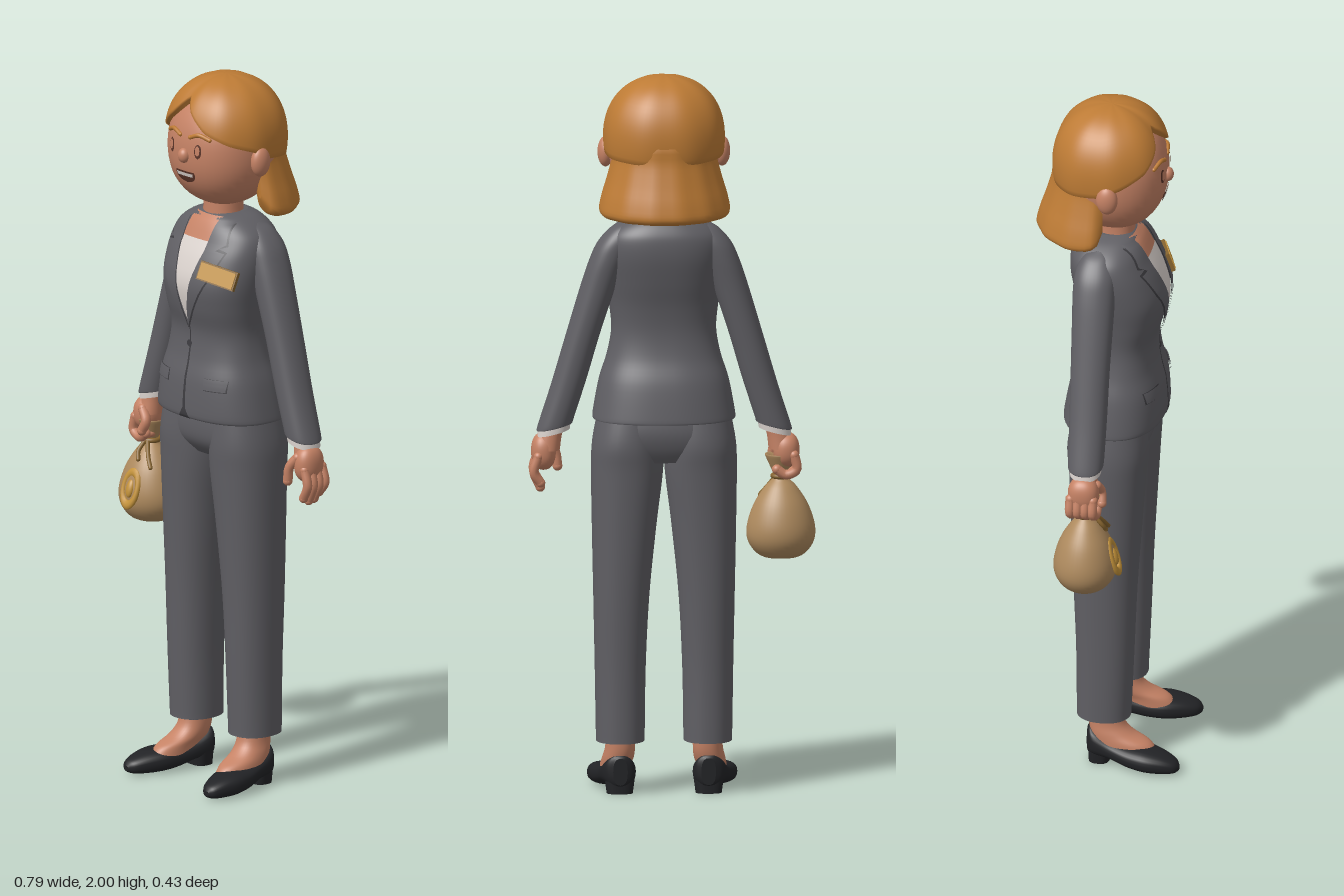
import * as THREE from 'three';
import { mergeVertices } from 'three/addons/utils/BufferGeometryUtils.js';

const mat = (name, color, side = THREE.FrontSide) => {
  const m = new THREE.MeshStandardMaterial({ color, side });
  m.name = name;
  return m;
};
const V = (x, y, z) => new THREE.Vector3(x, y, z);
const CX = 0.02; // the body's own centre line
const lerp = THREE.MathUtils.lerp;
const pw = (v, e) => Math.sign(v) * Math.abs(v) ** e;

// Skin a list of closed rings and close both ends
function loft(rings) {
  const n = rings[0].length, pos = [], idx = [];
  rings.forEach(r => r.forEach(p => pos.push(p.x, p.y, p.z)));
  for (let i = 0; i < rings.length - 1; i++) for (let j = 0; j < n; j++) {
    const a = i * n + j, c = i * n + (j + 1) % n;
    idx.push(a, a + n, c, c, a + n, c + n);
  }
  [rings[0], rings[rings.length - 1]].forEach((r, end) => {
    const mid = r.reduce((s, p) => s.add(p), V(0, 0, 0)).divideScalar(n), b = pos.length / 3;
    [mid, ...r].forEach(p => pos.push(p.x, p.y, p.z));
    for (let j = 0; j < n; j++) {
      const p = b + 1 + j, q = b + 1 + (j + 1) % n;
      idx.push(b, end ? q : p, end ? p : q);
    }
  });
  const g = new THREE.BufferGeometry();
  g.setAttribute('position', new THREE.Float32BufferAttribute(pos, 3));
  g.setIndex(idx);
  g.computeVertexNormals();
  return g;
}

// Smooth in-between sections
function resample(secs, sub = 5) {
  const out = [];
  for (let i = 0; i < secs.length - 1; i++) for (let k = 0; k < sub; k++) {
    const t = k / sub, b = secs[i], c = secs[i + 1], a = secs[i - 1] ?? b, d = secs[i + 2] ?? c;
    out.push(b.map((v, m) => 0.5 * (2 * v + (c[m] - a[m]) * t + (2 * a[m] - 5 * v + 4 * c[m] - d[m]) * t * t
      + (3 * v - a[m] - 3 * c[m] + d[m]) * t ** 3)));
  }
  out.push(secs[secs.length - 1]);
  return out;
}

// Rounded upright form; sections are [y, centreX, halfWidth, zFront, zBack] from the bottom up
const upright = (secs, p = 2.2, tilt = 0, n = 40) => loft(resample(secs).map(([y, cx, rx, zf, zb]) =>
  Array.from({ length: n }, (_, j) => {
    const a = j / n * Math.PI * 2, dx = rx * pw(Math.cos(a), 2 / p);
    return V(cx + dx, y + dx * tilt, (zf + zb) / 2 + (zf - zb) / 2 * pw(Math.sin(a), 2 / p));
  })));

// Ellipsoid, squarer for larger p
function blob(c, r, p = 2) {
  const g = new THREE.SphereGeometry(1, 40, 28), q = g.attributes.position;
  for (let i = 0; i < q.count; i++) {
    const v = V(0, 0, 0).fromBufferAttribute(q, i);
    v.divideScalar((Math.abs(v.x) ** p + Math.abs(v.y) ** p + Math.abs(v.z) ** p) ** (1 / p));
    q.setXYZ(i, c[0] + v.x * r[0], c[1] + v.y * r[1], c[2] + v.z * r[2]);
  }
  g.deleteAttribute('uv'); g.deleteAttribute('normal');
  const m = mergeVertices(g, 1e-5);
  m.computeVertexNormals();
  return m;
}

// Thin panel following a surface z(x, y); rows are [y, xLeft, xRight] from the bottom up
function panel(zAt, rows, off) {
  const pos = [], idx = [], n = 10, all = [];
  rows.forEach((r, i) => {
    if (i) for (let k = 1; k <= 6; k++) all.push(r.map((v, m) => lerp(rows[i - 1][m], v, k / 6)));
    else all.push(r);
  });
  all.forEach(([y, l, r], i) => {
    for (let j = 0; j <= n; j++) {
      const x = lerp(l, r, j / n), a = i * (n + 1) + j;
      pos.push(x, y, zAt(x, y) + off);
      if (i < all.length - 1 && j < n) idx.push(a, a + 1, a + n + 1, a + 1, a + n + 2, a + n + 1);
    }
  });
  const g = new THREE.BufferGeometry();
  g.setAttribute('position', new THREE.Float32BufferAttribute(pos, 3));
  g.setIndex(idx);
  g.computeVertexNormals();
  return g;
}
const ovalRows = (x, y, rx, ry, lo = -1) => Array.from({ length: 9 }, (_, i) => {
  const t = lerp(lo, 1, i / 8), w = rx * Math.sqrt(Math.max(0, 1 - t * t));
  return [y + ry * t, x - w, x + w];
});
const tube = (pts, r) => new THREE.TubeGeometry(new THREE.CatmullRomCurve3(pts.map(p => V(...p))), 14, r, 10);

export function createModel() {
  const root = new THREE.Group();
  root.name = 'woman';
  const D = THREE.DoubleSide;
  const skin = mat('skin', 0xc58265), hair = mat('hair', 0xbd7b35), suit = mat('suit grey', 0x605f64, D),
    seam = mat('dark seam', 0x3d3c40, D), white = mat('shirt white', 0xd9d1cc, D), shoe = mat('shoe black', 0x222326),
    sack = mat('sack tan', 0xae8a5e, D), gold = mat('gold', 0xc3923a), rope = mat('rope brown', 0x86642f),
    brown = mat('dark brown', 0x5a3428, D);
  const add = (name, geo, m, parent = root) => {
    const o = new THREE.Mesh(geo, m);
    o.name = name;
    parent.add(o);
    return o;
  };
  // Rod with round ends, for fingers and rope ends
  const rod = (name, pts, r, m) => {
    add(name, tube(pts, r), m);
    [pts[0], pts[pts.length - 1]].forEach(p => add(name + 'End', blob(p, [r, r, r]), m));
  };

  // Jacket body
  const torso = [[1.045, 0.195, 0.14, -0.132], [1.06, 0.195, 0.148, -0.132], [1.15, 0.178, 0.143, -0.115],
    [1.22, 0.156, 0.127, -0.09], [1.29, 0.144, 0.122, -0.08], [1.36, 0.15, 0.14, -0.086], [1.43, 0.16, 0.148, -0.102],
    [1.5, 0.166, 0.126, -0.115], [1.55, 0.16, 0.1, -0.115], [1.58, 0.138, 0.085, -0.105], [1.605, 0.098, 0.068, -0.085],
    [1.617, 0.06, 0.05, -0.06]].map(([y, ...r]) => [y, CX, ...r]);
  add('jacketBody', upright(torso, 2.4, 0, 64), suit);
  const dense = resample(torso);
  const chestZ = (x, y) => {
    let i = dense.findIndex(s => s[0] >= y);
    i = i < 0 ? dense.length - 1 : Math.max(1, i);
    const t = THREE.MathUtils.clamp((y - dense[i - 1][0]) / (dense[i][0] - dense[i - 1][0]), 0, 1);
    const [, cx, rx, zf, zb] = dense[i].map((v, m) => lerp(dense[i - 1][m], v, t));
    return (zf + zb) / 2 + (zf - zb) / 2 * Math.max(0, 1 - Math.abs((x - cx) / rx) ** 2.4) ** (1 / 2.4);
  };
  const front = (name, rows, off, m, s = 1) => add(name, panel(chestZ, rows.map(([y, l, r]) =>
    s > 0 ? [y, CX + l, CX + r] : [y, CX - r, CX - l]), off), m);
  front('neckline', [[1.53, -0.058, 0.058], [1.612, -0.052, 0.052]], 0.002, skin);
  front('shirt', [[1.325, -0.002, 0.002], [1.45, -0.033, 0.033], [1.55, -0.056, 0.056]], 0.004, white);
  front('frontOpening', [[1.046, -0.022, 0.022], [1.075, -0.005, 0.005], [1.33, -0.0015, 0.0015]], 0.002, seam);
  for (const s of [1, -1]) {
    front('lapelShadow', [[1.3, -0.001, 0.002], [1.46, 0.034, 0.092], [1.53, 0.05, 0.116], [1.537, 0.05, 0.09],
      [1.545, 0.05, 0.113], [1.6, 0.055, 0.097]], 0.006, seam, s);
    front('lapel', [[1.305, 0, 0.001], [1.46, 0.033, 0.088], [1.527, 0.05, 0.112], [1.532, 0.05, 0.085],
      [1.55, 0.051, 0.108], [1.606, 0.054, 0.092]], 0.009, suit, s);
    front('pocketShadow', [[1.136, 0.07, 0.137], [1.17, 0.07, 0.137]], 0.003, seam, s);
    front('pocketFlap', [[1.139, 0.072, 0.135], [1.17, 0.07, 0.137]], 0.006, suit, s);
  }
  front('button', ovalRows(0, 1.255, 0.01, 0.01), 0.006, seam);

  // Name badge
  const badge = new THREE.Group();
  badge.name = 'badge';
  badge.position.set(0.133, 1.47, 0.125);
  badge.rotation.set(-0.35, 0.35, -0.05);
  root.add(badge);
  add('badgeFrame', new THREE.BoxGeometry(0.118, 0.053, 0.014), rope, badge);
  add('badgePlate', new THREE.BoxGeometry(0.11, 0.045, 0.02), gold, badge);

  // Trousers
  add('trouserSeat', upright([[0.93, CX, 0.12, 0.075, -0.08], [0.97, CX, 0.185, 0.105, -0.1],
    [1.02, CX, 0.186, 0.112, -0.108], [1.09, CX, 0.17, 0.105, -0.095]], 2.4), suit);
  for (const s of [1, -1]) {
    const at = x => CX + s * x;
    add('trouserLeg', upright([[0.16, at(0.12), 0.05, 0.05, -0.06], [0.15, at(0.12), 0.065, 0.068, -0.078],
      [0.165, at(0.12), 0.067, 0.07, -0.08], [0.35, at(0.12), 0.07, 0.078, -0.082], [0.55, at(0.117), 0.077, 0.086, -0.09],
      [0.75, at(0.109), 0.089, 0.098, -0.098], [0.9, at(0.101), 0.099, 0.108, -0.105],
      [0.98, at(0.1), 0.097, 0.112, -0.11], [1.07, at(0.09), 0.09, 0.105, -0.095]]), suit);

    // Feet and low-heeled shoes
    add('foot', upright([[0.045, at(0.133), 0.042, 0.145, -0.03], [0.07, at(0.131), 0.042, 0.125, -0.035],
      [0.095, at(0.125), 0.043, 0.075, -0.042], [0.13, at(0.12), 0.041, 0.048, -0.048], [0.2, at(0.12), 0.04, 0.042, -0.05]]), skin);
    const shoeSecs = [[0.213, 0.165, 0.008, 0.012, 0.026], [0.2, 0.163, 0.026, 0.004, 0.04], [0.165, 0.158, 0.043, 0, 0.054],
      [0.12, 0.151, 0.055, 0, 0.063], [0.07, 0.142, 0.054, 0.006, 0.066], [0.02, 0.131, 0.049, 0.018, 0.076],
      [-0.025, 0.124, 0.046, 0.02, 0.1], [-0.042, 0.122, 0.036, 0.02, 0.108], [-0.05, 0.121, 0.02, 0.025, 0.1]];
    add('shoe', loft(resample(shoeSecs).map(([z, x, w, y0, y1]) => Array.from({ length: 28 }, (_, j) => {
      const a = j / 28 * Math.PI * 2;
      return V(at(x) + w * pw(Math.cos(a), 0.8), (y0 + y1) / 2 + (y1 - y0) / 2 * pw(Math.sin(a), 0.8), z);
    }))), shoe);
    add('shoeHeel', upright([[0, at(0.122), 0.036, 0.012, -0.046], [0.045, at(0.122), 0.042, 0.02, -0.048]], 2.8), shoe);

    // Sleeves and cuffs
    add('sleeve', upright([[1.025, at(0.3), 0.049, 0.027, -0.068], [1.04, at(0.297), 0.05, 0.029, -0.07],
      [1.15, at(0.262), 0.05, 0.03, -0.073], [1.28, at(0.224), 0.05, 0.03, -0.077], [1.42, at(0.18), 0.053, 0.032, -0.082],
      [1.5, at(0.152), 0.055, 0.032, -0.085], [1.55, at(0.132), 0.052, 0.028, -0.08], [1.585, at(0.115), 0.035, 0.01, -0.06],
      [1.597, at(0.108), 0.01, -0.01, -0.03]], 2.2, -s * 0.25), suit);
    add('cuff', upright([[1.008, at(0.304), 0.045, 0.023, -0.064], [1.035, at(0.3), 0.045, 0.023, -0.064]], 2.2, -s * 0.25), white);
    add('wrist', upright([[0.96, at(0.322), 0.036, 0.02, -0.056], [1.0, at(0.312), 0.031, 0.012, -0.052],
      [1.04, at(0.3), 0.03, 0.01, -0.05]]), skin);
    add('ear', blob([at(0.16), 1.785, 0.01], [0.022, 0.042, 0.03]), skin);
  }

  // Hands: open on one side, gripping the sack on the other
  add('leftPalm', blob([0.351, 0.955, -0.015], [0.034, 0.052, 0.043], 2.3), skin);
  add('rightPalm', blob([-0.315, 0.955, -0.02], [0.036, 0.048, 0.043], 2.3), skin);
  for (let i = 0; i < 4; i++) {
    const z = 0.014 - i * 0.021, d = [0.01, 0, 0.003, 0.018][i];
    rod('leftFinger', [[0.366, 0.945, z], [0.378, 0.9, z], [0.36, 0.853 + d, z * 0.9]], 0.013, skin);
    rod('rightFinger', [[-0.335, 0.945, z - 0.004], [-0.342, 0.905, z - 0.004], [-0.312, 0.89, z], [-0.288, 0.905, z]], 0.0135, skin);
  }
  rod('leftThumb', [[0.338, 0.975, 0.015], [0.317, 0.945, 0.026], [0.311, 0.905, 0.027]], 0.0135, skin);
  rod('rightThumb', [[-0.3, 0.975, 0.014], [-0.278, 0.945, 0.022], [-0.29, 0.915, 0.026]], 0.0135, skin);

  // Money sack with tied neck and round emblem
  const bag = new THREE.Group();
  bag.name = 'sack';
  bag.position.set(-0.3, 0, -0.018);
  root.add(bag);
  const prof = [[0.001, 0.655], [0.055, 0.66], [0.088, 0.695], [0.094, 0.74], [0.076, 0.8], [0.045, 0.85], [0.019, 0.878],
    [0.022, 0.892], [0.034, 0.918], [0.044, 0.943], [0.03, 0.935], [0.001, 0.9]];
  const curve = new THREE.SplineCurve(prof.map(p => new THREE.Vector2(...p)));
  add('sackBody', new THREE.LatheGeometry(curve.getPoints(50), 40), sack, bag).scale.z = 0.92;
  const tie = add('sackTie', new THREE.TorusGeometry(0.022, 0.007, 10, 24), rope, bag);
  tie.position.y = 0.882;
  tie.rotation.x = Math.PI / 2;
  rod('tieEnd', [[-0.29, 0.88, 0.005], [-0.265, 0.845, 0.025], [-0.245, 0.82, 0.035]], 0.006, rope);
  rod('tieEnd', [[-0.3, 0.88, 0.007], [-0.302, 0.855, 0.028], [-0.292, 0.835, 0.038]], 0.006, rope);
  const emblem = new THREE.Group();
  emblem.name = 'emblem';
  emblem.position.set(0.003, 0.755, 0.079);
  emblem.rotation.x = -0.3;
  bag.add(emblem);
  add('emblemRing', new THREE.TorusGeometry(0.027, 0.008, 10, 28), gold, emblem).scale.y = 1.7;
  add('emblemBead', blob([0, 0, 0.002], [0.013, 0.026, 0.01]), gold, emblem);

  // Neck and head
  add('neck', upright([[1.56, CX, 0.066, 0.062, -0.055], [1.61, CX, 0.055, 0.057, -0.05], [1.7, CX, 0.053, 0.055, -0.05]]), skin);
  const hc = [CX, 1.8, 0.003], hr = [0.152, 0.165, 0.146], P = 2.2;
  add('head', blob(hc, hr, P), skin);
  const faceZ = (x, y) => hc[2] + hr[2] * Math.max(0, 1 - Math.abs((x - hc[0]) / hr[0]) ** P
    - Math.abs((y - hc[1]) / hr[1]) ** P) ** (1 / P);
  add('nose', blob([CX, 1.795, 0.148], [0.018, 0.021, 0.017]), skin);
  for (const s of [1, -1]) {
    const x = CX + s * 0.052;
    add('eye', panel(faceZ, ovalRows(x, 1.815, 0.011, 0.021), 0.003), brown);
    add('eyeInner', panel(faceZ, ovalRows(x, 1.817, 0.007, 0.015), 0.005), skin);
    rod('eyebrow', [0.02, 0.05, 0.08].map((d, i) => [CX + s * d, 1.85 + [0, 0.01, 0][i],
      faceZ(CX + s * d, 1.855) + 0.001]), 0.006, hair);
  }
  add('mouth', panel(faceZ, ovalRows(CX, 1.742, 0.038, -0.025, -0.35).reverse(), 0.003), brown);
  add('teeth', panel(faceZ, [[1.736, CX - 0.03, CX + 0.03], [1.746, CX - 0.032, CX + 0.032]], 0.005), white);

  // Swept hair: a cap whose lower edge rises to the parting
  const edge = [[-180, 108], [-95, 102], [-70, 92], [-45, 80], [-25, 64], [-10, 44], [5, 60], [25, 76], [50, 86], [75, 93],
    [95, 102], [180, 108]];
  const limit = f => {
    const i = Math.max(1, edge.findIndex(e => e[0] >= f));
    return lerp(edge[i - 1][1], edge[i][1], (f - edge[i - 1][0]) / (edge[i][0] - edge[i - 1][0]));
  };
  const capRings = [];
  for (let k = -2; k <= 22; k++) capRings.push(Array.from({ length: 80 }, (_, j) => {
    const a = j / 80 * Math.PI * 2, f = Math.atan2(Math.cos(a), Math.sin(a));
    const deg = THREE.MathUtils.clamp(THREE.MathUtils.radToDeg(f), -179.9, 179.9);
    const th = THREE.MathUtils.degToRad(limit(deg)) * Math.max(0.004, 1 - Math.max(0, k) / 22), st = Math.sin(th);
    const d = [st * Math.cos(a), Math.cos(th), st * Math.sin(a)];
    const wave = 1 - 0.035 * st * Math.exp(-(((deg + 10) / 9) ** 2)) + 0.006 * st * Math.cos(9 * f);
    const r = (k === -2 ? 0.86 : k === -1 ? 0.97 : 1) * wave / d.reduce((s, v) => s + Math.abs(v) ** P, 0) ** (1 / P);
    return V(CX + d[0] * r * 0.167, 1.825 + d[1] * r * 0.175, -0.008 + d[2] * r * 0.161);
  }));
  add('hairCap', loft(capRings), hair);

  // Flipped-out bob around the back
  const lock = new THREE.CatmullRomCurve3([[0.165, 1.613], [0.19, 1.625], [0.186, 1.66], [0.167, 1.72], [0.15, 1.78],
    [0.143, 1.83], [0.11, 1.83], [0.112, 1.75], [0.1, 1.68], [0.12, 1.625]].map(p => V(p[0], p[1], 0)), true)
    .getPoints(40).slice(0, 40);
  const bob = Array.from({ length: 41 }, (_, i) => {
    const u = i / 40 * 2 - 1, q = Math.PI / 2 + u * 1.68, fat = Math.max(0.15, (1 - u ** 12) ** 0.5);
    return lock.map(p => {
      const r = lerp(0.142, p.x, fat) * (1 + 0.008 * Math.cos(q * 14)), y = lerp(1.72, p.y, 0.35 + 0.65 * fat);
      return V(CX + r * 0.97 * Math.cos(q), y, -0.022 - r * Math.sin(q));
    });
  });
  add('hairBob', loft(bob), hair);
  return root;
}
